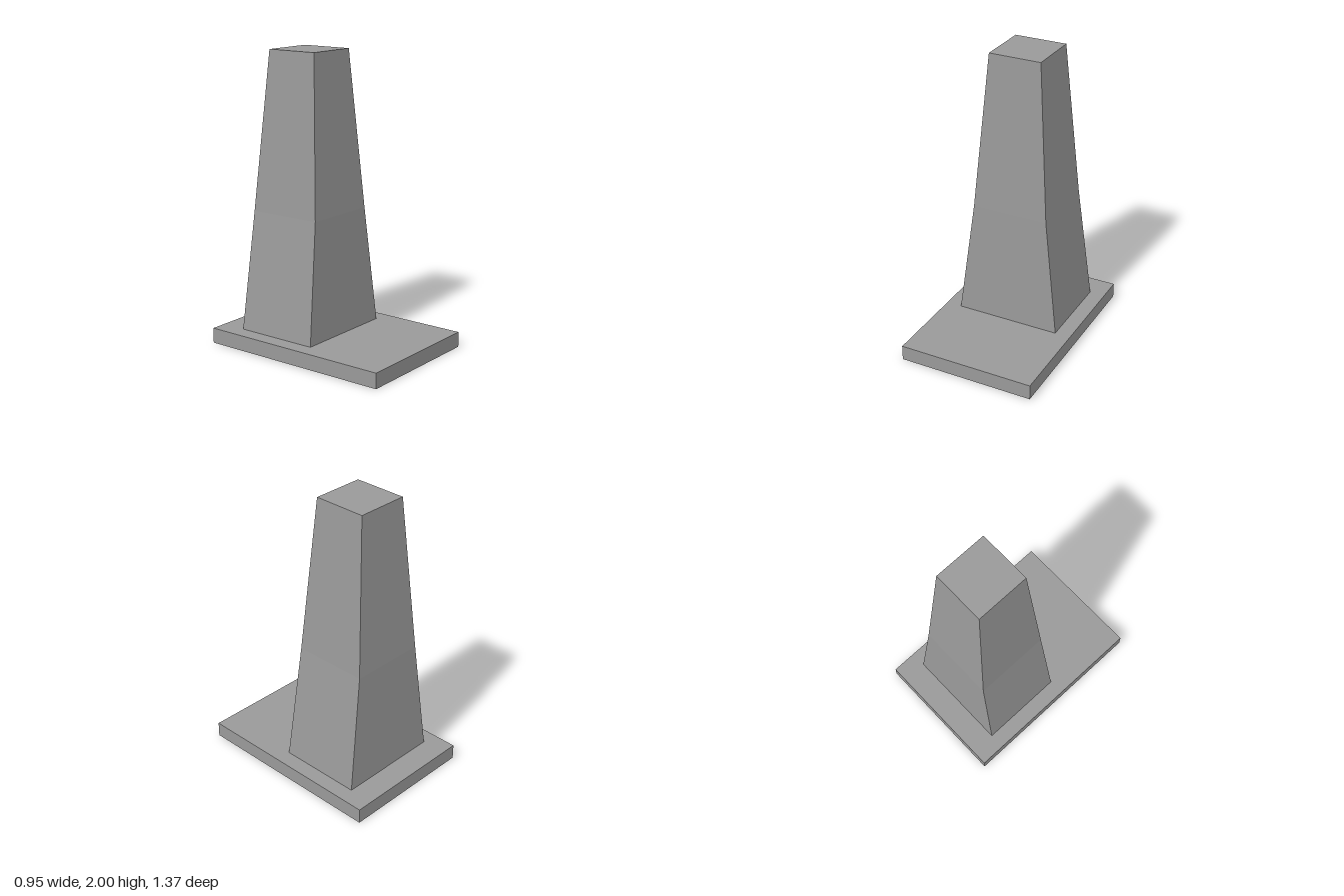
import * as THREE from 'three';

// Four-sided tapered block from rectangular sections [y, halfWidth, zBack, zFront], bottom to top
function taperedBlock(sections) {
  const pos = [];
  const quad = (a, b, c, d) => pos.push(...a, ...b, ...c, ...a, ...c, ...d);
  const rings = sections.map(([y, w, back, front]) => [
    [-w, y, front], [w, y, front], [w, y, back], [-w, y, back],
  ]);
  for (let i = 0; i < rings.length - 1; i++) {
    const lo = rings[i], hi = rings[i + 1];
    for (let k = 0; k < 4; k++) {
      const n = (k + 1) % 4;
      quad(lo[k], lo[n], hi[n], hi[k]);
    }
  }
  quad(...rings[rings.length - 1]);
  quad(...[...rings[0]].reverse());
  const geo = new THREE.BufferGeometry();
  geo.setAttribute('position', new THREE.Float32BufferAttribute(pos, 3));
  geo.computeVertexNormals();
  return geo;
}

export function createModel() {
  const model = new THREE.Group();
  const grey = new THREE.MeshStandardMaterial({ color: 0x999999 });
  grey.name = 'grey';

  // Flat rectangular slab
  const base = new THREE.Mesh(new THREE.BoxGeometry(0.955, 0.105, 1.37), grey);
  base.name = 'base';
  base.position.y = 0.0525;
  model.add(base);

  // Tapered pillar, set towards the back, with a slight bend in its sides
  const pillar = new THREE.Mesh(taperedBlock([
    [0.105, 0.368, -0.51, 0.078],
    [0.92, 0.268, -0.478, 0.043],
    [2, 0.183, -0.402, -0.03],
  ]), grey);
  pillar.name = 'pillar';
  model.add(pillar);

  return model;
}
